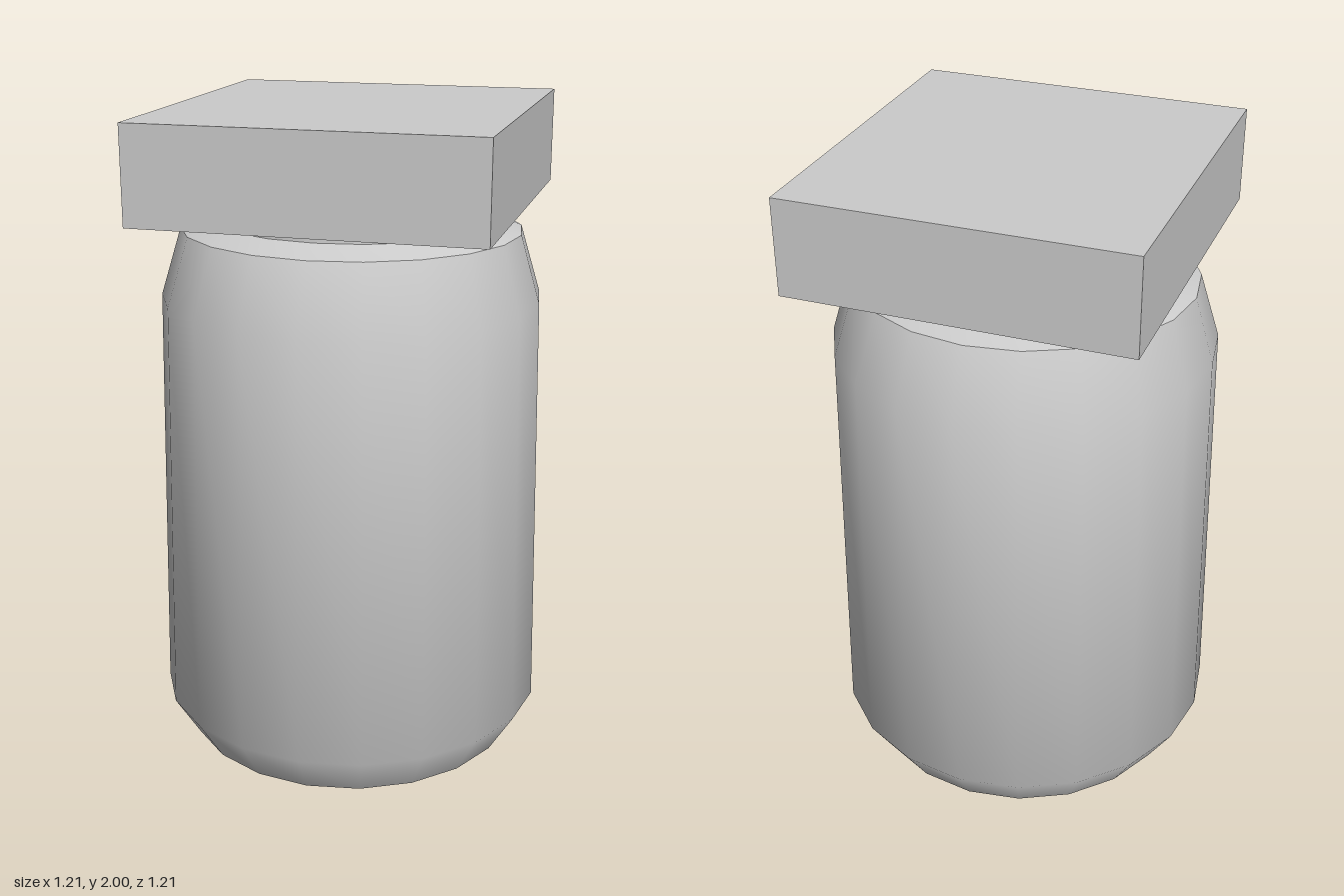
import * as THREE from 'three';
import { mergeVertices, toCreasedNormals } from 'three/addons/utils/BufferGeometryUtils.js';

const SIDES = 20;
const material = new THREE.MeshStandardMaterial({ color: 0xcccccc });

// Jar profile: height, half width in x, half depth in z
const RINGS = [
  [0, 0, 0],
  [0, 0.525, 0.525],
  [0.13, 0.605, 0.605],
  [1.43, 0.58, 0.58],
  [1.635, 0.52, 0.49],
  [1.665, 0.45, 0.40],
  [1.71, 0.44, 0.395],
  [1.95, 0.44, 0.395],
  [1.95, 0, 0],
];

// Lathe on the x radii, then squeeze each ring to its own depth
function jarGeometry() {
  const points = RINGS.map(([y, rx]) => new THREE.Vector2(rx, y));
  const geometry = new THREE.LatheGeometry(points, SIDES);
  const position = geometry.attributes.position;
  for (let i = 0; i < position.count; i++) {
    const [, rx, rz] = RINGS[i % RINGS.length];
    if (rx > 0) position.setZ(i, position.getZ(i) * rz / rx);
  }
  geometry.deleteAttribute('uv');
  geometry.deleteAttribute('normal');
  return toCreasedNormals(mergeVertices(geometry), 0.75);
}

// Rectangle path around the centre
function rectangle(path, w, d) {
  path.moveTo(-w / 2, -d / 2);
  path.lineTo(w / 2, -d / 2);
  path.lineTo(w / 2, d / 2);
  path.lineTo(-w / 2, d / 2);
  path.closePath();
  return path;
}

function createLid(width, depth, height, wall) {
  const lid = new THREE.Group();
  lid.name = 'lid';

  // Thin skirt, open underneath
  const frame = rectangle(new THREE.Shape(), width, depth);
  frame.holes.push(rectangle(new THREE.Path(), width - 2 * wall, depth - 2 * wall));
  const skirt = new THREE.Mesh(
    new THREE.ExtrudeGeometry(frame, { depth: height - wall, bevelEnabled: false }),
    material
  );
  skirt.name = 'lidSkirt';
  skirt.rotation.x = -Math.PI / 2;

  // Flat top plate
  const plate = new THREE.Mesh(new THREE.BoxGeometry(width, wall, depth), material);
  plate.name = 'lidTop';
  plate.position.y = height - wall / 2;

  lid.add(skirt, plate);
  return lid;
}

export function createModel() {
  const model = new THREE.Group();
  model.name = 'jar';

  const body = new THREE.Mesh(jarGeometry(), material);
  body.name = 'jarBody';

  // The square lid sits slightly off centre
  const lid = createLid(1.03, 1.085, 0.29, 0.02);
  lid.position.set(0.01, 1.71, 0.012);

  model.add(body, lid);
  return model;
}
